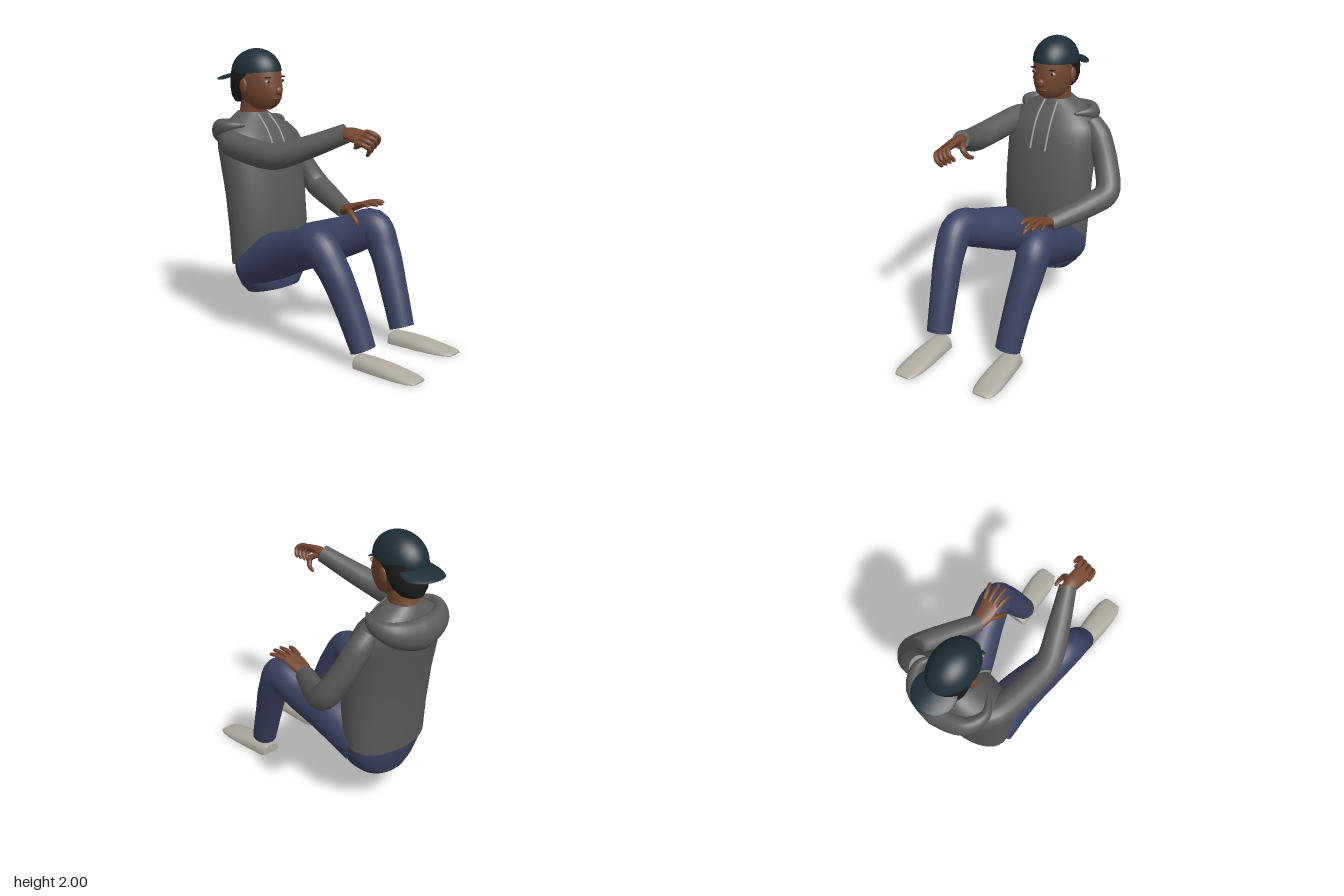
import * as THREE from 'three';

const V = (x, y, z) => new THREE.Vector3(x, y, z);
const mat = (name, color, side = THREE.FrontSide) => {
  const m = new THREE.MeshStandardMaterial({ color, side });
  m.name = name;
  return m;
};
const CX = -0.08; // body centre line

// Skin of elliptical rings {c, u, v, p}; p is the superellipse power. Both ends are capped.
function loft(rings, n = 28) {
  const pos = [], idx = [];
  const ringPoints = ({ c, u, v, p = 2 }) => {
    for (let i = 0; i < n; i++) {
      const a = (i / n) * Math.PI * 2, ca = Math.cos(a), sa = Math.sin(a);
      const q = c.clone()
        .addScaledVector(u, Math.sign(ca) * Math.abs(ca) ** (2 / p))
        .addScaledVector(v, Math.sign(sa) * Math.abs(sa) ** (2 / p));
      pos.push(q.x, q.y, q.z);
    }
  };
  rings.forEach(ringPoints);
  for (let r = 0; r < rings.length - 1; r++) {
    for (let i = 0; i < n; i++) {
      const a = r * n + i, b = r * n + (i + 1) % n;
      idx.push(a, b, a + n, b, b + n, a + n);
    }
  }
  [rings[0], rings[rings.length - 1]].forEach((ring, end) => {
    const s = pos.length / 3;
    ringPoints(ring);
    pos.push(ring.c.x, ring.c.y, ring.c.z);
    for (let i = 0; i < n; i++) {
      const j = (i + 1) % n;
      if (end) idx.push(s + i, s + j, s + n); else idx.push(s + j, s + i, s + n);
    }
  });
  const g = new THREE.BufferGeometry();
  g.setAttribute('position', new THREE.Float32BufferAttribute(pos, 3));
  g.setIndex(idx);
  g.computeVertexNormals();
  return g;
}

// Upright body from rows [y, zCentre, rx, rz, frontLift]
const stack = (rows, p = 2, n = 36) => loft(rows.map(([y, z, rx, rz, lift = 0]) =>
  ({ c: V(CX, y, z), u: V(0, lift, rz), v: V(rx, 0, 0), p })), n);

// Limb along a smooth path through [x, y, z, a, b]; a is the radius along ref
function limb(pts, { ref = V(1, 0, 0), steps = 6, n = 20 } = {}) {
  const curve = new THREE.CatmullRomCurve3(pts.map(p => V(p[0], p[1], p[2])));
  const total = (pts.length - 1) * steps, rings = [];
  for (let i = 0; i <= total; i++) {
    const k = Math.min(Math.floor(i / steps), pts.length - 2), f = i / steps - k;
    const radius = (p, j) => p[j] ?? p[3];
    const mix = j => THREE.MathUtils.lerp(radius(pts[k], j), radius(pts[k + 1], j), f);
    const t = curve.getTangent(i / total);
    const u = ref.clone().addScaledVector(t, -ref.dot(t)).normalize();
    const v = t.clone().cross(u);
    rings.push({ c: curve.getPoint(i / total), u: u.multiplyScalar(mix(3)), v: v.multiplyScalar(mix(4)) });
  }
  return loft(rings, n);
}

const ball = (x, y, z, rx, ry, rz) => new THREE.SphereGeometry(1, 20, 14).scale(rx, ry, rz).translate(x, y, z);

export function createModel() {
  const model = new THREE.Group();
  model.name = 'seatedFigure';
  const hoodie = mat('hoodie grey', 0x5a5a5a), denim = mat('denim blue', 0x3b4262);
  const skin = mat('skin brown', 0x744630), lipTone = mat('lip brown', 0x633a2b);
  const capTone = mat('cap navy', 0x1d2e38, THREE.DoubleSide), hairTone = mat('hair black', 0x1d1b1a);
  const shoeTone = mat('shoe grey', 0xaeaaa0), cord = mat('cord grey', 0x9a9a98);
  const eyeWhite = mat('eye white', 0xa8a29a), eyeDark = mat('eye dark', 0x17110e);
  const add = (name, geometry, material, parent = model) => {
    const m = new THREE.Mesh(geometry, material);
    m.name = name;
    parent.add(m);
    return m;
  };
  const group = name => {
    const g = new THREE.Group();
    g.name = name;
    model.add(g);
    return g;
  };

  // Sweater body, hem to collar
  add('sweaterBody', stack([
    [0.525, -0.54, 0.315, 0.172, 0.045], [0.75, -0.53, 0.33, 0.2, 0.02], [1.0, -0.555, 0.335, 0.205],
    [1.22, -0.595, 0.34, 0.205], [1.33, -0.62, 0.342, 0.2], [1.4, -0.645, 0.32, 0.187],
    [1.45, -0.66, 0.275, 0.165], [1.5, -0.67, 0.205, 0.135], [1.54, -0.675, 0.135, 0.112],
    [1.56, -0.675, 0.105, 0.1],
  ], 2.2), hoodie);

  // Lowered hood resting on the upper back
  add('hood', limb([
    [CX - 0.2, 1.485, -0.56, 0.01, 0.01], [CX - 0.265, 1.47, -0.68, 0.045, 0.035],
    [CX - 0.2, 1.43, -0.8, 0.08, 0.06], [CX, 1.39, -0.835, 0.11, 0.085],
    [CX + 0.2, 1.43, -0.8, 0.08, 0.06], [CX + 0.265, 1.47, -0.68, 0.045, 0.035],
    [CX + 0.2, 1.485, -0.56, 0.01, 0.01],
  ], { ref: V(0, 1, 0) }), hoodie);

  for (const s of [-1, 1]) {
    add(s < 0 ? 'rightDrawstring' : 'leftDrawstring', limb([
      [CX + s * 0.05, 1.545, -0.57, 0.007], [CX + s * 0.058, 1.46, -0.49, 0.007],
      [CX + s * 0.06, 1.37, -0.438, 0.007], [CX + s * 0.06, 1.23, -0.385, 0.008],
    ], { n: 8 }), cord);
  }

  // Sleeves
  add('rightSleeve', limb([
    [-0.31, 1.37, -0.69, 0.07, 0.075], [-0.365, 1.36, -0.6, 0.088], [-0.41, 1.335, -0.36, 0.09],
    [-0.425, 1.33, -0.14, 0.088], [-0.345, 1.405, 0.08, 0.076], [-0.245, 1.505, 0.31, 0.057, 0.063],
  ]), hoodie);
  add('leftSleeve', limb([
    [0.2, 1.42, -0.67, 0.06, 0.07], [0.265, 1.33, -0.655, 0.086], [0.36, 1.14, -0.6, 0.086],
    [0.423, 0.975, -0.505, 0.088], [0.37, 0.925, -0.36, 0.082], [0.215, 0.863, -0.06, 0.066, 0.058],
  ]), hoodie);

  // Right hand, held forward with curled fingers
  const rightHand = group('rightHand');
  add('rightPalm', limb([
    [-0.25, 1.5, 0.28, 0.042, 0.036], [-0.255, 1.505, 0.35, 0.055, 0.034], [-0.265, 1.49, 0.46, 0.062, 0.025],
  ], { ref: V(1, 0.6, 0) }), skin, rightHand);
  for (let i = 0; i < 4; i++) {
    const x = -0.314 + i * 0.033, y = 1.462 + i * 0.02;
    add('rightFinger' + (i + 1), limb([
      [x, y, 0.44, 0.018], [x + 0.005, y - 0.008, 0.5, 0.017], [x + 0.03, y - 0.035, 0.525, 0.015],
      [x + 0.048, y - 0.075, 0.5, 0.013], [x + 0.05, y - 0.085, 0.49, 0.004],
    ], { n: 10, steps: 4 }), skin, rightHand);
  }
  add('rightThumb', limb([
    [-0.23, 1.5, 0.32, 0.022], [-0.185, 1.465, 0.37, 0.02], [-0.16, 1.42, 0.35, 0.016],
    [-0.155, 1.4, 0.31, 0.012], [-0.155, 1.395, 0.3, 0.004],
  ], { n: 10, ref: V(0, 0.3, 1) }), skin, rightHand);

  // Left hand, resting on the knee
  const leftHand = group('leftHand');
  add('leftPalm', limb([
    [0.215, 0.865, -0.09, 0.045, 0.036], [0.21, 0.9, 0, 0.066, 0.03], [0.217, 0.937, 0.1, 0.07, 0.021],
  ]), skin, leftHand);
  for (let i = 0; i < 4; i++) {
    const x = 0.16 + i * 0.038, dx = -0.012 + i * 0.016, reach = [0.2, 0.235, 0.235, 0.205][i];
    add('leftFinger' + (i + 1), limb([
      [x, 0.936, 0.08, 0.018], [x + dx * 0.6, 0.952, 0.15, 0.016],
      [x + dx, 0.948, reach - 0.012, 0.012], [x + dx, 0.946, reach, 0.004],
    ], { n: 10, steps: 4 }), skin, leftHand);
  }
  add('leftThumb', limb([
    [0.17, 0.9, 0, 0.022], [0.13, 0.87, 0.06, 0.019], [0.118, 0.83, 0.11, 0.016], [0.115, 0.8, 0.125, 0.005],
  ], { n: 10 }), skin, leftHand);

  // Trousers
  add('trouserSeat', stack([
    [0.3, -0.49, 0.2, 0.153, 0.03], [0.36, -0.5, 0.26, 0.165, 0.03],
    [0.46, -0.52, 0.3, 0.167, 0.04], [0.58, -0.535, 0.305, 0.16, 0.04],
  ], 2.2), denim);
  add('rightTrouserLeg', limb([
    [-0.255, 0.5, -0.51, 0.16, 0.15], [-0.27, 0.6, -0.28, 0.155, 0.165], [-0.34, 0.705, 0, 0.125, 0.14],
    [-0.378, 0.765, 0.18, 0.113, 0.13], [-0.37, 0.63, 0.305, 0.107, 0.106], [-0.345, 0.38, 0.42, 0.095],
    [-0.325, 0.12, 0.52, 0.086, 0.084],
  ], { n: 28 }), denim);
  add('leftTrouserLeg', limb([
    [0.095, 0.5, -0.51, 0.16, 0.15], [0.125, 0.6, -0.28, 0.155, 0.165], [0.205, 0.705, 0, 0.125, 0.14],
    [0.245, 0.775, 0.165, 0.113, 0.13], [0.245, 0.63, 0.26, 0.107, 0.106], [0.22, 0.38, 0.36, 0.095],
    [0.2, 0.12, 0.45, 0.088, 0.084],
  ], { n: 28 }), denim);

  // Shoes: low domed sections along the foot, flat underneath
  const shoe = (name, x0, turn, z0) => {
    const rows = [[0, 0.06, 0.074], [0.015, 0.075, 0.08], [0.12, 0.083, 0.079], [0.24, 0.09, 0.07],
      [0.36, 0.092, 0.045], [0.44, 0.082, 0.03], [0.475, 0.068, 0.022], [0.49, 0.055, 0.012]];
    const g = loft(rows.map(([d, w, h]) => ({
      c: V(x0 + turn * d, 0, z0 + d), u: V(w, 0, 0), v: V(0, h, 0), p: 2.5 })), 28);
    const p = g.attributes.position;
    for (let i = 0; i < p.count; i++) p.setY(i, Math.max(p.getY(i), 0.002));
    g.computeVertexNormals();
    add(name, g, shoeTone);
  };
  shoe('rightShoe', -0.315, 0.0, 0.47);
  shoe('leftShoe', 0.205, 0.09, 0.37);

  // Neck and head
  add('neck', limb([[CX, 1.5, -0.68, 0.1], [CX, 1.58, -0.665, 0.094], [CX, 1.7, -0.645, 0.095]]), skin);
  add('head', stack([
    [1.58, -0.565, 0.05, 0.06], [1.6, -0.57, 0.083, 0.1], [1.63, -0.585, 0.102, 0.145],
    [1.67, -0.605, 0.117, 0.182], [1.72, -0.615, 0.13, 0.2], [1.77, -0.62, 0.137, 0.19],
    [1.83, -0.625, 0.141, 0.19], [1.9, -0.63, 0.13, 0.175],
  ]), skin);
  add('hair', stack([
    [1.625, -0.735, 0.075, 0.085], [1.67, -0.72, 0.115, 0.112], [1.72, -0.705, 0.136, 0.125],
    [1.78, -0.685, 0.145, 0.145], [1.83, -0.655, 0.148, 0.174], [1.87, -0.635, 0.145, 0.188],
  ]), hairTone);
  add('nose', ball(CX, 1.715, -0.418, 0.028, 0.03, 0.02), skin);
  add('lips', ball(CX, 1.662, -0.432, 0.04, 0.012, 0.014), lipTone);
  for (const s of [-1, 1]) {
    const side = s < 0 ? 'right' : 'left';
    add(side + 'Ear', ball(CX + s * 0.14, 1.745, -0.625, 0.018, 0.055, 0.033), skin);
    add(side + 'Eye', ball(CX + s * 0.073, 1.78, -0.461, 0.02, 0.012, 0.014), eyeWhite);
    add(side + 'Pupil', ball(CX + s * 0.073, 1.78, -0.452, 0.01, 0.01, 0.008), eyeDark);
    add(side + 'Brow', ball(CX + s * 0.073, 1.808, -0.455, 0.03, 0.005, 0.012), hairTone);
  }

  // Cap worn backwards
  const crown = add('capCrown', new THREE.SphereGeometry(1, 36, 14, 0, Math.PI * 2, 0, Math.PI / 2)
    .scale(0.151, 0.17, 0.199), capTone);
  crown.position.set(CX, 1.83, -0.632);
  crown.rotation.x = -0.09;
  const brim = ball(0, 0, 0, 0.147, 0.012, 0.14);
  const bp = brim.attributes.position;
  for (let i = 0; i < bp.count; i++) bp.setY(i, bp.getY(i) - 1.4 * bp.getX(i) ** 2);
  brim.computeVertexNormals();
  const brimMesh = add('capBrim', brim, capTone);
  brimMesh.position.set(CX, 1.812, -0.825);
  brimMesh.rotation.x = -0.2;

  return model;
}
